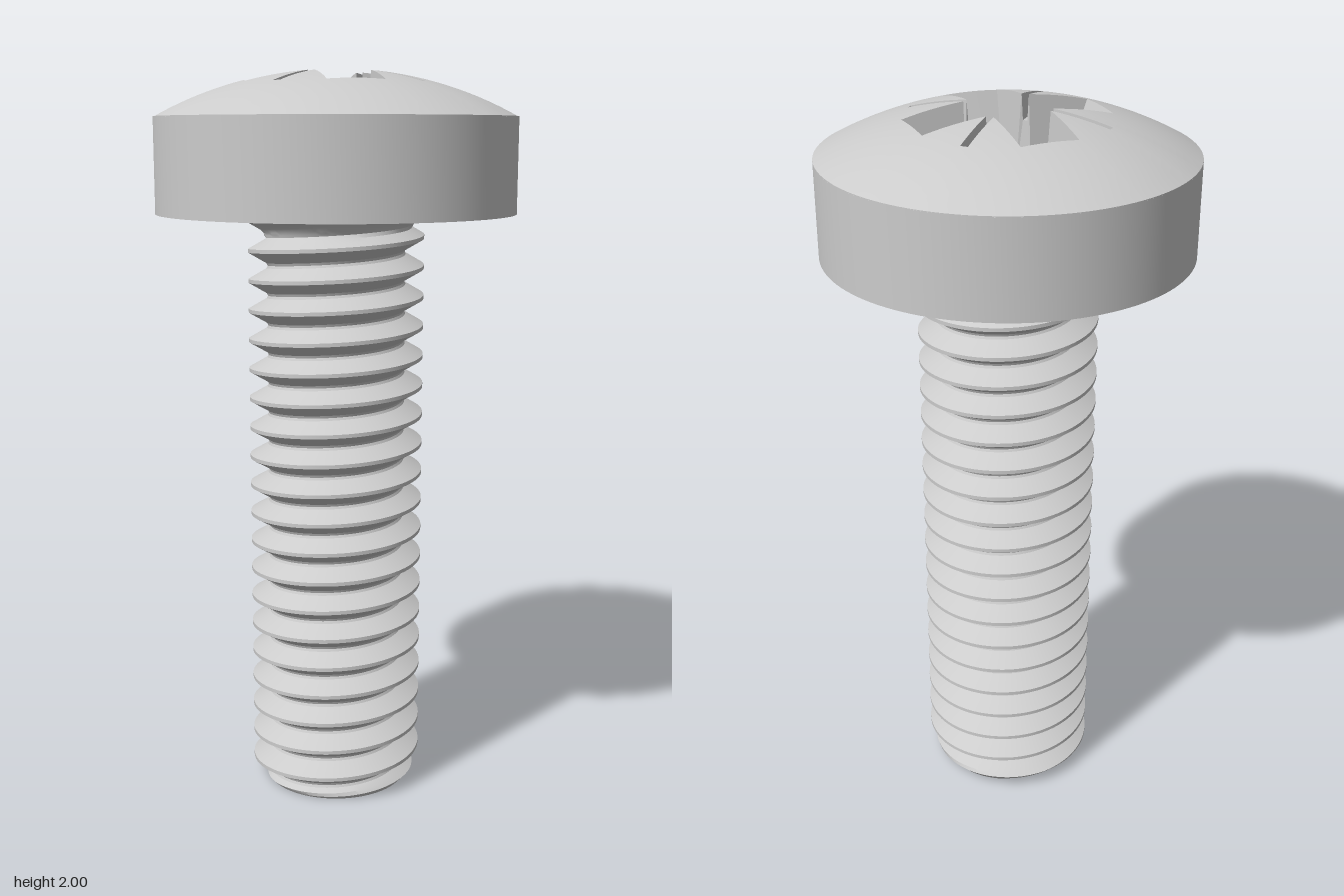
import * as THREE from 'three';
import { toCreasedNormals } from 'three/addons/utils/BufferGeometryUtils.js';

const HEAD_R = 0.487, HEAD_Y = 1.625, BAND_TOP = 1.88;
const DOME_R = 1.003, DOME_TOP = 2.004;
const PITCH = 0.0815, CREST_Y = 0.018, CREST_R = 0.24;
const FLOOR = 1.77, TICK_FLOOR = 1.93;

const material = new THREE.MeshStandardMaterial({ color: 0xcccccc });
const lerp = THREE.MathUtils.lerp, clamp = THREE.MathUtils.clamp;

function makeMesh(name, geometry) {
  const mesh = new THREE.Mesh(geometry, material);
  mesh.name = name;
  return mesh;
}

// Grid of rows x columns, faces on the side of (column step) x (row step)
function gridGeometry(rows, cols, pointAt) {
  const pos = [], idx = [];
  for (let j = 0; j <= rows; j++) {
    for (let i = 0; i <= cols; i++) {
      pos.push(...pointAt(i, j));
      if (i < cols && j < rows) {
        const a = j * (cols + 1) + i, d = a + cols + 1;
        idx.push(a, a + 1, d, a + 1, d + 1, d);
      }
    }
  }
  const g = new THREE.BufferGeometry();
  g.setAttribute('position', new THREE.Float32BufferAttribute(pos, 3));
  g.setIndex(idx);
  return g;
}

// Thread radius for u = distance from the crest in pitches
function threadRadius(u) {
  const d = Math.abs(u - Math.round(u));
  if (d < 0.0625) return CREST_R;
  if (d < 0.4165) return lerp(CREST_R, 0.19, (d - 0.0625) / 0.354);
  return 0.187 + 0.003 * ((0.5 - d) / 0.0835) ** 2;
}

// Right-handed threaded shank with end chamfer and a flare under the head
function shank() {
  const steps = [0, 0.0625, 0.18, 0.3, 0.4165, 0.5, 0.5835, 0.7, 0.82, 0.9375];
  const cols = 96, turns = 23;
  const g = gridGeometry(turns * steps.length, cols, (i, j) => {
    const t = (i / cols) * Math.PI * 2;
    if (j === 0) return [0, 0, 0];
    const offset = Math.floor(j / steps.length) - 2 + steps[j % steps.length];
    const lead = CREST_Y + (PITCH * i) / cols;
    const y = clamp(lead + offset * PITCH, 0, HEAD_Y);
    let r = Math.min(threadRadius((y - lead) / PITCH), 0.2 + 0.9 * y);
    const f = clamp((y - 1.56) / (HEAD_Y - 1.56), 0, 1);
    if (f > 0) r = Math.max(r, 0.195 + 0.052 * f * f);
    return [r * Math.cos(t), y, -r * Math.sin(t)];
  });
  return toCreasedNormals(g, 0.5);
}

const domeY = (x, z) => DOME_TOP - DOME_R + Math.sqrt(DOME_R ** 2 - x * x - z * z);
const quarter = ([x, z], k) => {
  for (; k > 0; k--) [x, z] = [-z, x];
  return [x, z];
};

// Recess outline of one arm, from tick end to tick end, as [x, z]
const ARM = [[0.184, 0.198], [0.075, 0.0891], [0.075, 0.253],
  [-0.075, 0.253], [-0.075, 0.0891], [-0.184, 0.198]];

// Domed top around the recess opening
function dome() {
  const corners = [], outline = [];
  for (let k = 0; k < 4; k++) corners.push(...ARM.map((p) => quarter(p, k)));
  corners.forEach(([x, z], c) => {
    const [x2, z2] = corners[(c + 1) % corners.length];
    for (let s = 0; s < 10; s++) outline.push([lerp(x, x2, s / 10), lerp(z, z2, s / 10)]);
  });
  const g = gridGeometry(10, outline.length, (i, j) => {
    const [x, z] = outline[i % outline.length];
    const s = lerp(1, HEAD_R / Math.hypot(x, z), j / 10);
    return [x * s, domeY(x * s, z * s), z * s];
  });
  g.computeVertexNormals();
  return g;
}

// Cross recess with four diagonal tick grooves
function recess() {
  const pos = [];
  const centre = new THREE.Vector3(0, 1.96, 0);
  // Every face is wound to look at a point inside the recess
  const tri = (a, b, c) => {
    const [A, B, C] = [a, b, c].map((p) => new THREE.Vector3(...p));
    const n = B.clone().sub(A).cross(C.clone().sub(A));
    const order = n.dot(centre.clone().sub(A)) < 0 ? [a, c, b] : [a, b, c];
    order.forEach((p) => pos.push(...p));
  };
  const quad = (a, b, c, d) => { tri(a, b, c); tri(a, c, d); };
  const swap = ([x, z]) => [z, x];
  for (let k = 0; k < 4; k++) {
    const at = (p, y) => {
      const [x, z] = quarter(p, k);
      return [x, y ?? domeY(x, z), z];
    };
    // Wall from a dome edge a-b down to a lower edge c-d
    const wall = (a, b, c, d, y) => {
      const mix = (p, q, s) => [lerp(p[0], q[0], s), lerp(p[1], q[1], s)];
      for (let s = 0; s < 10; s++) {
        const s0 = s / 10, s1 = (s + 1) / 10;
        quad(at(mix(a, b, s0)), at(mix(a, b, s1)), at(mix(c, d, s1), y), at(mix(c, d, s0), y));
      }
    };
    // Arm walls
    const low = [[0.058, 0.09], [0.058, 0.17], [-0.058, 0.17], [-0.058, 0.09]];
    for (let e = 0; e < 3; e++) wall(ARM[e + 1], ARM[e + 2], low[e], low[e + 1], FLOOR);
    // Arm floor and its part of the conical centre
    const r = Math.hypot(0.058, 0.09), a0 = Math.atan2(0.09, 0.058);
    const tip = [0, 1.73, 0];
    const arc = (s) => {
      const a = lerp(a0, Math.PI - a0, s);
      return at([r * Math.cos(a), r * Math.sin(a)], FLOOR);
    };
    const edge = (s) => at([lerp(0.058, -0.058, s), 0.17], FLOOR);
    for (let s = 0; s < 8; s++) {
      quad(arc(s / 8), arc((s + 1) / 8), edge((s + 1) / 8), edge(s / 8));
      tri(tip, arc(s / 8), arc((s + 1) / 8));
    }
    // Tapered tick groove between this arm and its neighbour
    const [end, mouth] = ARM, inEnd = [0.168, 0.18], inMouth = [0.0778, 0.0863];
    wall(end, mouth, inEnd, inMouth, TICK_FLOOR);
    wall(swap(end), swap(mouth), swap(inEnd), swap(inMouth), TICK_FLOOR);
    wall(end, swap(end), inEnd, swap(inEnd), TICK_FLOOR);
    const sillA = at(inMouth, TICK_FLOOR), sillB = at(swap(inMouth), TICK_FLOOR);
    quad(at(inEnd, TICK_FLOOR), at(swap(inEnd), TICK_FLOOR), sillB, sillA);
    // Corner below the groove
    const lowA = at(low[0], FLOOR), lowB = at(swap(low[0]), FLOOR);
    quad(sillA, sillB, lowB, lowA);
    tri(at(mouth), sillA, lowA);
    tri(at(swap(mouth)), sillB, lowB);
    tri(tip, lowA, lowB);
  }
  const g = new THREE.BufferGeometry();
  g.setAttribute('position', new THREE.Float32BufferAttribute(pos, 3));
  return toCreasedNormals(g, 0.35);
}

export function createModel() {
  const screw = new THREE.Group();
  screw.name = 'screw';

  const head = new THREE.Group();
  head.name = 'head';
  const profile = [[0, HEAD_Y], [HEAD_R, HEAD_Y], [HEAD_R, BAND_TOP]]
    .map(([x, y]) => new THREE.Vector2(x, y));
  head.add(
    makeMesh('headBand', toCreasedNormals(new THREE.LatheGeometry(profile, 128), 0.5)),
    makeMesh('headDome', dome()),
    makeMesh('crossRecess', recess()),
  );

  screw.add(head, makeMesh('threadedShank', shank()));
  return screw;
}
